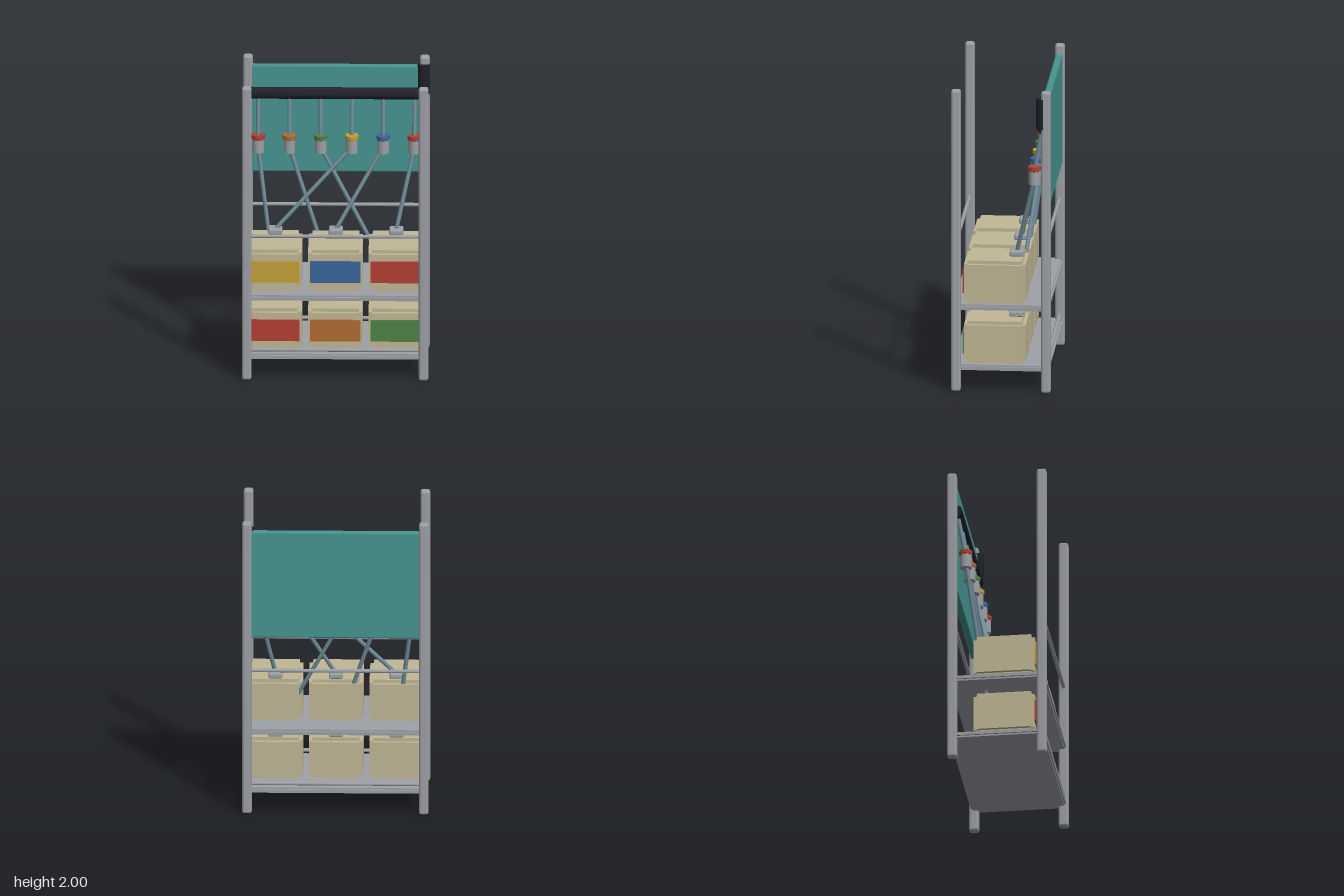
import * as THREE from 'three';
import { RoundedBoxGeometry } from 'three/addons/geometries/RoundedBoxGeometry.js';

const paint = (name, color) => {
  const m = new THREE.MeshStandardMaterial({ color });
  m.name = name;
  return m;
};

export function createModel() {
  const model = new THREE.Group();
  model.name = 'wiringRack';

  const steel = paint('steel grey', 0x9ea1a6);
  const teal = paint('teal', 0x479591);
  const black = paint('black', 0x20222c);
  const cable = paint('cable blue grey', 0x708e99);
  const beige = paint('beige', 0xc2b896);
  const red = paint('red', 0xb54034);
  const orange = paint('orange', 0xb26d33);
  const green = paint('green', 0x4f8549);
  const yellow = paint('yellow', 0xc5a239);
  const blue = paint('blue', 0x3a699c);

  const add = (name, geometry, material, x = 0, y = 0, z = 0, parent = model) => {
    const mesh = new THREE.Mesh(geometry, material);
    mesh.name = name;
    mesh.position.set(x, y, z);
    parent.add(mesh);
    return mesh;
  };

  // Straight rod between two points
  const rod = (name, a, b, radius, material, sides = 8) => {
    const from = new THREE.Vector3(...a), to = new THREE.Vector3(...b);
    const dir = to.clone().sub(from);
    const mesh = add(name, new THREE.CylinderGeometry(radius, radius, dir.length(), sides), material);
    mesh.position.copy(from).add(to).multiplyScalar(0.5);
    mesh.quaternion.setFromUnitVectors(new THREE.Vector3(0, 1, 0), dir.normalize());
    return mesh;
  };

  // Block with stepped edges: three crossing boxes, each full length on one axis
  const steppedBlock = (name, w, h, d, step, material, x, y, z) => {
    const group = new THREE.Group();
    group.name = name;
    group.position.set(x, y, z);
    const s = step * 2;
    add(name + 'Wide', new THREE.BoxGeometry(w, h - s, d - s), material, 0, 0, 0, group);
    add(name + 'Tall', new THREE.BoxGeometry(w - s, h, d - s), material, 0, 0, 0, group);
    add(name + 'Deep', new THREE.BoxGeometry(w - s, h - s, d), material, 0, 0, 0, group);
    model.add(group);
  };

  const midX = -0.003;
  const postX = 0.566, postZ = 0.289;

  // Corner posts
  for (const sx of [-1, 1]) for (const sz of [-1, 1]) {
    add('post', new RoundedBoxGeometry(0.062, 2, 0.062, 1, 0.015), steel,
      midX + sx * postX, 1, sz * postZ - 0.002);
  }

  // Shelves
  for (const y of [0.157, 0.557]) {
    steppedBlock('shelf', 1.17, 0.037, 0.616, 0.011, steel, midX, y, -0.002);
  }

  // Front and back rails
  for (const y of [0.2, 0.978]) for (const z of [-postZ, postZ]) {
    rod('rail', [midX - postX, y, z], [midX + postX, y, z], 0.0125, steel);
  }

  // Back panel with the roller and its end housing
  add('backPanel', new RoundedBoxGeometry(1.1, 0.73, 0.046, 1, 0.012), teal, midX, 1.573, -0.286);
  rod('roller', [midX - 0.55, 1.75, -0.268], [midX + 0.55, 1.75, -0.268], 0.041, black, 12);
  add('rollerHousing', new THREE.CylinderGeometry(0.04, 0.04, 0.2, 8), black, 0.557, 1.85, -0.267);

  // Storage boxes with coloured labels and cable entries
  const columns = [-0.392, -0.004, 0.383];
  const rows = [
    { y: 0.315, labels: [red, orange, green] },
    { y: 0.716, labels: [yellow, blue, red] },
  ];
  for (const { y, labels } of rows) columns.forEach((x, i) => {
    steppedBlock('storageBox', 0.348, 0.282, 0.395, 0.023, beige, x, y, 0.04);
    add('boxLabel', new THREE.BoxGeometry(0.323, 0.146, 0.009), labels[i], x, y, 0.242);
    add('cableEntry', new RoundedBoxGeometry(0.09, 0.036, 0.092, 1, 0.01), steel, x, y + 0.16, -0.09);
  });

  // Cables with couplings: each starts at the roller and ends at a box
  const cables = [
    { x: -0.503, color: red, column: 0, row: 0 },
    { x: -0.303, color: orange, column: 1, row: 0 },
    { x: -0.103, color: green, column: 2, row: 0 },
    { x: 0.097, color: yellow, column: 0, row: 1 },
    { x: 0.297, color: blue, column: 1, row: 1 },
    { x: 0.497, color: red, column: 2, row: 1 },
  ];
  const couplingZ = -0.211;
  for (const { x, color, column, row } of cables) {
    rod('upperCable', [x, 1.75, -0.265], [x, 1.44, couplingZ], 0.014, cable);
    add('coupling', new THREE.CylinderGeometry(0.038, 0.038, 0.09, 10), steel, x, 1.41, couplingZ);
    add('couplingRing', new THREE.CylinderGeometry(0.044, 0.044, 0.024, 8), color, x, 1.471, couplingZ);
    add('couplingCollar', new THREE.CylinderGeometry(0.041, 0.037, 0.012, 8), color, x, 1.454, couplingZ);
    rod('lowerCable', [x, 1.4, couplingZ], [columns[column], rows[row].y + 0.165, -0.09], 0.0135, cable);
  }

  return model;
}
